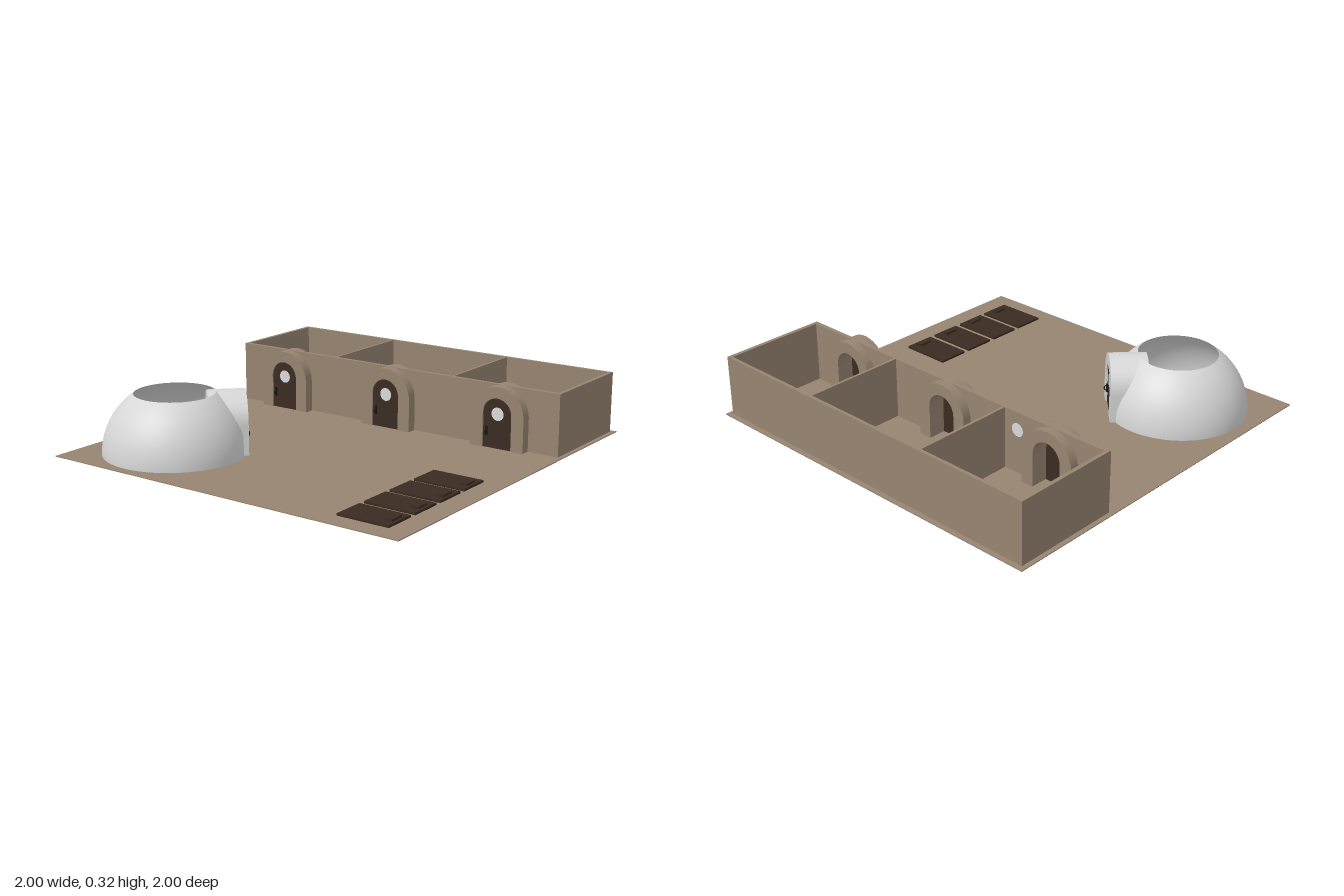
import * as THREE from 'three';
import { toCreasedNormals } from 'three/addons/utils/BufferGeometryUtils.js';

const mat = (name, color, side = THREE.FrontSide) => {
  const m = new THREE.MeshStandardMaterial({ color, side });
  m.name = name;
  return m;
};

export function createModel() {
  const sand = mat('sand', 0x968470);
  const plaster = mat('pale plaster', 0xd6d6d6, THREE.DoubleSide);
  const wood = mat('dark wood', 0x3a2b21);
  const glass = mat('pale glass', 0xdadada, THREE.DoubleSide);
  const iron = mat('dark iron', 0x1c1714);

  const add = (parent, name, geometry, material, x = 0, y = 0, z = 0) => {
    const mesh = new THREE.Mesh(geometry, material);
    mesh.name = name;
    mesh.position.set(x, y, z);
    parent.add(mesh);
    return mesh;
  };
  // box given by its limits
  const box = (parent, name, material, x0, x1, y0, y1, z0, z1) =>
    add(parent, name, new THREE.BoxGeometry(x1 - x0, y1 - y0, z1 - z0), material,
      (x0 + x1) / 2, (y0 + y1) / 2, (z0 + z1) / 2);
  // round-headed outline standing on y = base
  const archPath = (path, r, spring, x = 0, base = 0) => {
    path.moveTo(x - r, base);
    path.lineTo(x + r, base);
    path.lineTo(x + r, spring);
    path.absarc(x, spring, r, 0, Math.PI, false);
    path.lineTo(x - r, base);
    return path;
  };
  const extrude = (shape, depth) => toCreasedNormals(
    new THREE.ExtrudeGeometry(shape, { depth, bevelEnabled: false, curveSegments: 24 }), 0.6);

  // doorway with its front face at local z = 0
  const doorway = (name, material, spring, depth) => {
    const g = new THREE.Group();
    g.name = name;
    const ring = new THREE.Shape();
    ring.moveTo(0.148, 0);
    ring.lineTo(0.148, spring);
    ring.absarc(0, spring, 0.148, 0, Math.PI, false);
    ring.lineTo(-0.148, 0);
    ring.lineTo(-0.08, 0);
    ring.lineTo(-0.08, spring + 0.01);
    ring.absarc(0, spring + 0.01, 0.08, Math.PI, 0, true);
    ring.lineTo(0.08, 0);
    add(g, 'doorArch', extrude(ring, depth), material, 0, 0, -depth);
    add(g, 'door', extrude(archPath(new THREE.Shape(), 0.08, spring + 0.01), 0.02), wood, 0, 0, -0.028);
    add(g, 'doorWindow', new THREE.CircleGeometry(0.034, 32), glass, 0, spring + 0.01, -0.006);
    // handle: plate with a small pull
    box(g, 'handlePlate', iron, -0.065, -0.055, 0.068, 0.112, -0.008, 0.002);
    const pull = add(g, 'handlePull', new THREE.TorusGeometry(0.015, 0.003, 6, 12, Math.PI), iron, -0.06, 0.09, -0.004);
    pull.rotation.set(0, 0, -Math.PI / 2);
    pull.rotation.y = -Math.PI / 2;
    return g;
  };

  const model = new THREE.Group();
  model.name = 'courtyard';
  box(model, 'ground', sand, -1, 1, 0, 0.004, -1, 1);

  // row of three open-topped rooms
  const rooms = new THREE.Group();
  rooms.name = 'roomBlock';
  model.add(rooms);
  const H = 0.318, doors = [-0.663, 0, 0.663];
  box(rooms, 'backWall', sand, -0.976, 0.976, 0, H, -0.973, -0.955);
  for (const s of [-1, 1]) {
    add(rooms, 'sideWall', new THREE.BoxGeometry(0.02, H, 0.53), sand, s * 0.966, H / 2, -0.692);
    add(rooms, 'divider', new THREE.BoxGeometry(0.014, H, 0.53), sand, s * 0.364, H / 2, -0.692);
  }
  const front = new THREE.Shape();
  front.moveTo(-0.976, 0);
  front.lineTo(0.976, 0);
  front.lineTo(0.976, H);
  front.lineTo(-0.976, H);
  for (const x of doors) front.holes.push(archPath(new THREE.Path(), 0.08, 0.18, x, 0.003));
  add(rooms, 'frontWall', extrude(front, 0.022), sand, 0, 0, -0.429);
  for (const x of doors) {
    const d = doorway('roomDoorway', sand, 0.17, 0.12);
    d.position.set(x, 0, -0.355);
    rooms.add(d);
  }
  const port = add(rooms, 'innerPorthole', new THREE.CircleGeometry(0.034, 32), glass, -0.45, 0.23, -0.432);
  port.rotation.y = Math.PI;

  // round hut: a hemisphere open at the top, turned so its doorway is at local +z
  const hut = new THREE.Group();
  hut.name = 'roundHut';
  hut.position.set(-0.583, 0, 0.594);
  hut.rotation.y = Math.PI * 0.75;
  model.add(hut);
  const R = 0.36, top = Math.acos(0.3 / R);
  const dome = new THREE.SphereGeometry(R, 96, 32, 0, Math.PI * 2, top, Math.PI / 2 - top);
  // flatten the shell behind the door
  const p = dome.attributes.position;
  for (let i = 0; i < p.count; i++) p.setZ(i, Math.min(p.getZ(i), 0.318));
  add(hut, 'dome', dome, plaster);
  const hutDoor = doorway('hutDoorway', plaster, 0.152, 0.19);
  hutDoor.position.set(0.018, 0, 0.345);
  hut.add(hutDoor);

  // four sleeping mats with pillows
  for (let i = 0; i < 4; i++) {
    const z = 0.222 + i * 0.1985;
    box(model, 'mat', wood, 0.618, 0.885, 0.004, 0.015, z - 0.083, z + 0.083);
    box(model, 'pillow', wood, 0.833, 0.87, 0.015, 0.025, z - 0.036, z + 0.036);
  }
  return model;
}
